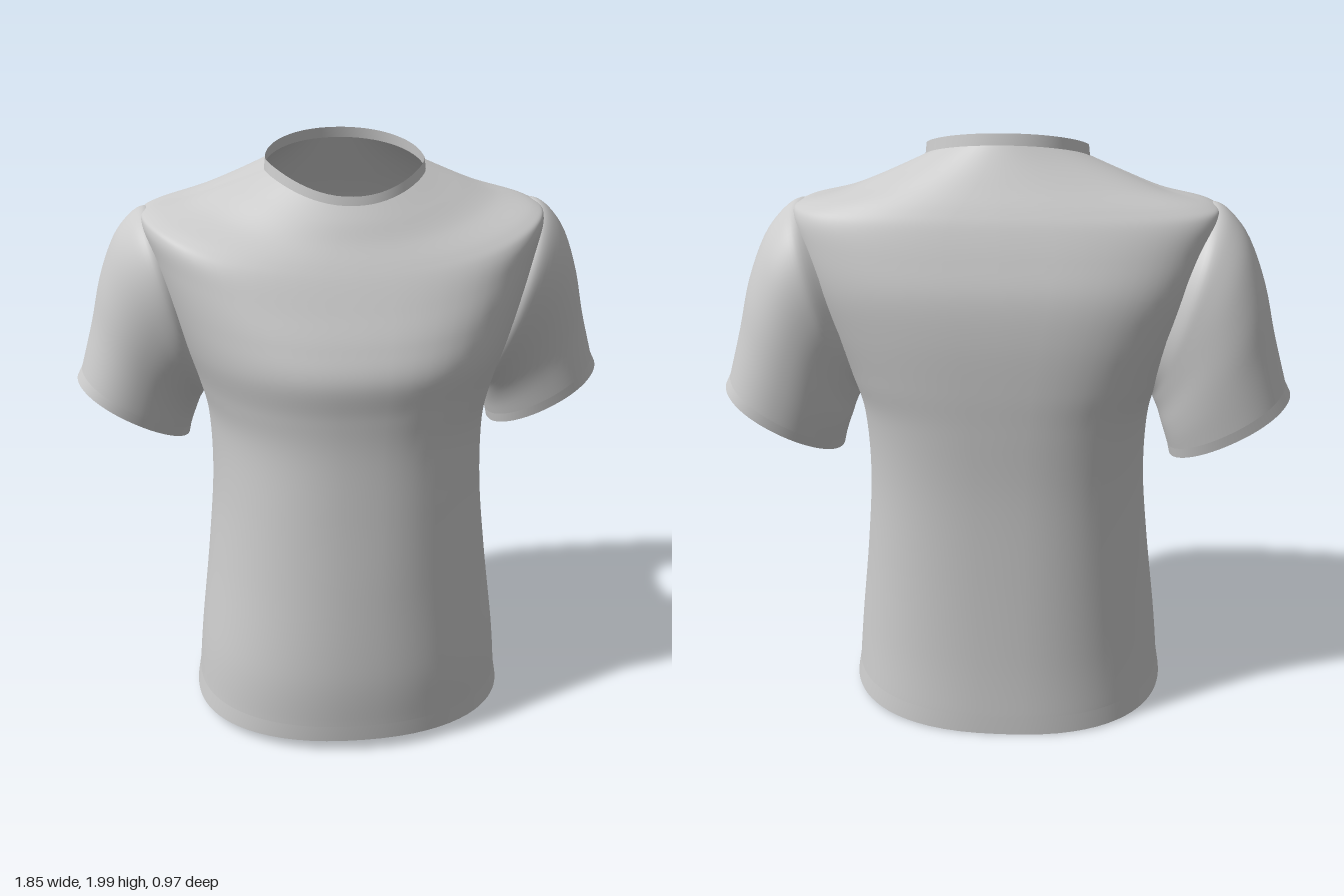
import * as THREE from 'three';

const SEG = 96;
const cloth = new THREE.MeshStandardMaterial({ color: 0xcccccc, side: THREE.DoubleSide });

// Smoothly inserts k rows per span between the control rows (Catmull-Rom).
function refine(rows, k) {
  const out = [];
  const row = (i) => rows[Math.min(rows.length - 1, Math.max(0, i))];
  for (let i = 0; i < rows.length - 1; i++) {
    const [a, b, c, d] = [row(i - 1), row(i), row(i + 1), row(i + 2)];
    for (let j = 0; j < k; j++) {
      const t = j / k;
      out.push(b.map((_, n) => b[n] + 0.5 * t * (c[n] - a[n]
        + t * (2 * a[n] - 5 * b[n] + 4 * c[n] - d[n] + t * (3 * (b[n] - c[n]) + d[n] - a[n])))));
    }
  }
  out.push(rows[rows.length - 1]);
  return out;
}

// Skins closed rings; point(row, angle) gives a position, skip(centre) leaves a hole.
function loft(name, rows, point, skip = () => false) {
  const pts = [], index = [];
  for (const r of rows) {
    for (let i = 0; i < SEG; i++) pts.push(point(r, (i / SEG) * Math.PI * 2));
  }
  for (let j = 0; j < rows.length - 1; j++) {
    for (let i = 0; i < SEG; i++) {
      const a = j * SEG + i, b = j * SEG + (i + 1) % SEG, c = a + SEG, d = b + SEG;
      const mid = pts[a].clone().add(pts[d]).multiplyScalar(0.5);
      if (!skip(mid)) index.push(a, c, b, b, c, d);
    }
  }
  const g = new THREE.BufferGeometry().setFromPoints(pts);
  g.setIndex(index);
  g.computeVertexNormals();
  const mesh = new THREE.Mesh(g, cloth);
  mesh.name = name;
  return mesh;
}

const power = (v, n) => Math.sign(v) * Math.pow(Math.abs(v), 2 / n);

// Torso ring: half width, widest z, front z, back z, side y, front y, back y, front and back squareness.
function torsoPoint([w, zc, zf, zb, ys, yf, yb, nf, nb], turn) {
  const a = turn - 0.25 * Math.sin(2 * turn); // denser at the sides
  const c = Math.cos(a), s = Math.sin(a);
  const front = s > 0, n = front ? nf : nb;
  return new THREE.Vector3(
    w * power(c, n),
    ys + ((front ? yf : yb) - ys) * Math.pow(Math.abs(s), front ? 2.2 : 1.1),
    zc + ((front ? zf : zb) - zc) * Math.abs(power(s, n)));
}

// Sleeve ring: top x, top y, bottom x, bottom y, front z, back z; slightly egg-shaped, fuller above.
const sleevePoint = (side) => ([tx, ty, bx, by, zf, zb], a) => {
  const c = power(Math.cos(a), 2.1), s = power(Math.sin(-a * side), 2.1) * (1 + 0.1 * c);
  return new THREE.Vector3(
    side * ((tx + bx) / 2 + c * (tx - bx) / 2),
    (ty + by) / 2 + c * (ty - by) / 2,
    (zf + zb) / 2 + s * (zf - zb) / 2);
};

export function createModel() {
  const shirt = new THREE.Group();
  shirt.name = 'tShirt';

  // Torso from the hem seam over the shoulders to the neck seam
  const hemTop = [0.545, 0, 0.476, -0.455, 0.1, 0.11, 0.075, 2.2, 2.4];
  const neck = [0.262, -0.05, 0.19, -0.298, 1.903, 1.825, 1.965, 2.1, 2.1];
  const torso = [
    hemTop,
    [0.528, 0, 0.485, -0.45, 0.28, 0.3, 0.27, 2.2, 2.4],
    [0.492, -0.02, 0.472, -0.45, 0.58, 0.6, 0.58, 2.2, 2.5],
    [0.468, -0.05, 0.455, -0.455, 0.85, 0.87, 0.87, 2.3, 2.6],
    [0.473, -0.08, 0.444, -0.47, 1.08, 1.08, 1.1, 2.3, 2.7],
    [0.505, -0.1, 0.447, -0.48, 1.22, 1.21, 1.24, 2.35, 2.9],
    [0.555, -0.12, 0.455, -0.486, 1.36, 1.33, 1.4, 2.4, 3.1],
    [0.605, -0.13, 0.42, -0.478, 1.51, 1.43, 1.53, 2.45, 3.3],
    [0.645, -0.13, 0.368, -0.45, 1.65, 1.53, 1.64, 2.55, 3.4],
    [0.668, -0.13, 0.325, -0.42, 1.745, 1.61, 1.73, 2.6, 3.3],
    [0.64, -0.13, 0.295, -0.395, 1.777, 1.66, 1.785, 2.5, 2.9],
    [0.5, -0.12, 0.256, -0.36, 1.812, 1.72, 1.85, 2.25, 2.5],
    [0.37, -0.08, 0.222, -0.325, 1.86, 1.778, 1.915, 2.1, 2.2],
    neck,
  ];
  const inArmhole = (p) => Math.abs(p.x) > 0.4
    && Math.hypot((p.y - 1.45) / 0.27, (p.z + 0.132) / 0.22) < 1;
  shirt.add(loft('torso', refine(torso, 8), torsoPoint, inArmhole));

  // Bottom hem band
  shirt.add(loft('hem', [
    [0.556, 0, 0.472, -0.456, 0.035, 0.05, 0.008, 2.2, 2.4],
    hemTop,
  ], torsoPoint));

  // Standing collar band
  shirt.add(loft('collar', [
    neck,
    [0.258, -0.05, 0.185, -0.292, 1.938, 1.853, 2, 2.1, 2.1],
  ], torsoPoint));

  // Sleeves, starting just inside the armhole, each with a cuff
  const cuffTop = [0.905, 1.215, 0.538, 0.99, 0.018, -0.398];
  const sleeve = [
    [0.62, 1.762, 0.45, 1.175, 0.105, -0.365],
    [0.662, 1.774, 0.475, 1.155, 0.122, -0.39],
    [0.71, 1.745, 0.488, 1.13, 0.115, -0.4],
    [0.767, 1.67, 0.502, 1.1, 0.09, -0.407],
    [0.82, 1.535, 0.515, 1.06, 0.056, -0.41],
    [0.858, 1.38, 0.527, 1.025, 0.032, -0.406],
    cuffTop,
  ];
  for (const [label, side] of [['left', 1], ['right', -1]]) {
    shirt.add(loft(label + 'Sleeve', refine(sleeve, 4), sleevePoint(side)));
    shirt.add(loft(label + 'Cuff', [
      cuffTop,
      [0.923, 1.18, 0.545, 0.958, 0.012, -0.392],
    ], sleevePoint(side)));
  }
  return shirt;
}
